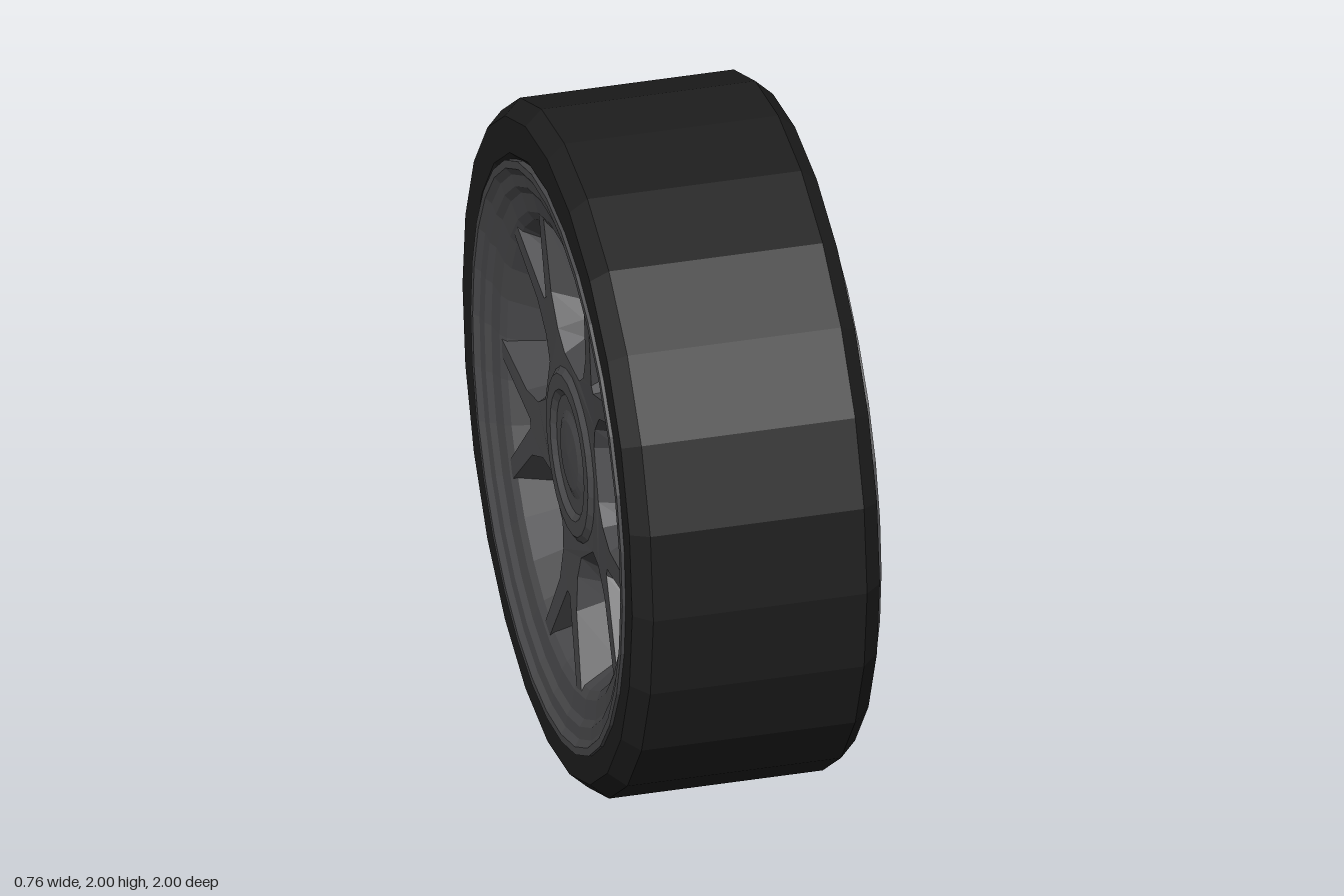
import * as THREE from 'three';

const rubber = new THREE.MeshStandardMaterial({ color: 0x1e1e1e, flatShading: true });
const metal = new THREE.MeshStandardMaterial({ color: 0x48484a, flatShading: true });

// Revolves a [radius, x] profile around the axle (x axis)
function revolve(name, profile, sides, material) {
  const points = profile.map(([r, x]) => new THREE.Vector2(r, x));
  const geometry = new THREE.LatheGeometry(points, sides).rotateZ(-Math.PI / 2);
  const mesh = new THREE.Mesh(geometry, material);
  mesh.name = name;
  return mesh;
}

// Half of one forked spoke: small gap in the spoke's frame, large window in its own frame
// each entry is [along, across]
const waist = {
  gap: [[0.52, 0.03], [0.635, 0.105]],
  window: [[0.62, 0.165], [0.41, 0.155], [0.36, 0.13], [0.33, 0.08]],
};
const edge = {
  gap: [[0.44, 0.01], [0.61, 0.145]],
  window: [[0.61, 0.215], [0.43, 0.2], [0.33, 0.145], [0.28, 0.08]],
};

// Full five-spoke outline, blended from waist (t = 0) to edge (t = 1), tips ending at reach
function spokeOutline(t, reach) {
  const blend = (key) => waist[key].map((p, i) => p.map((v, k) => v + (edge[key][i][k] - v) * t));
  const half = [
    ...blend('gap').map(([u, w]) => [Math.hypot(u, w), Math.atan2(w, u)]),
    ...blend('window').map(([u, w]) => [Math.hypot(u, w), Math.PI / 5 - Math.atan2(w, u)]),
  ].map(([r, a]) => [r > 0.55 ? reach : r, a]);
  const sector = [...half.map(([r, a]) => [r, -a]).reverse(), ...half];
  const outline = [];
  for (let i = 0; i < 5; i++) {
    const turn = Math.PI + (i * Math.PI * 2) / 5;
    for (const [r, a] of sector) {
      outline.push(new THREE.Vector2(r * Math.cos(turn + a), r * Math.sin(turn + a)));
    }
  }
  return outline;
}

// Spoke star lofted through sections { hubX, tipX, blend, reach }, with capped ends
function spokeStar(sections) {
  const loops = sections.map(({ blend, reach }) => spokeOutline(blend, reach));
  const n = loops[0].length;
  const positions = [];
  const index = [];
  loops.forEach((loop, s) => loop.forEach((p) => {
    const { hubX, tipX } = sections[s];
    const x = THREE.MathUtils.mapLinear(p.length(), 0.29, 0.65, hubX, tipX);
    positions.push(x, p.x, p.y);
  }));
  for (let s = 0; s < loops.length - 1; s++) {
    for (let i = 0; i < n; i++) {
      const j = (i + 1) % n;
      const a = s * n + i, b = s * n + j;
      index.push(a, b, b + n, a, b + n, a + n);
    }
  }
  const last = (loops.length - 1) * n;
  for (const [a, b, c] of THREE.ShapeUtils.triangulateShape(loops[0], [])) index.push(a, c, b);
  for (const [a, b, c] of THREE.ShapeUtils.triangulateShape(loops[loops.length - 1], [])) {
    index.push(last + a, last + b, last + c);
  }
  const geometry = new THREE.BufferGeometry();
  geometry.setAttribute('position', new THREE.Float32BufferAttribute(positions, 3));
  geometry.setIndex(index);
  geometry.computeVertexNormals();
  const mesh = new THREE.Mesh(geometry, metal);
  mesh.name = 'spokes';
  return mesh;
}

export function createModel() {
  const model = new THREE.Group();
  model.name = 'wheel';

  // Tire with chamfered shoulders
  const tire = revolve('tire', [
    [0.8, -0.33], [0.85, -0.37], [0.955, -0.37], [1, -0.32],
    [1, 0.305], [0.955, 0.354], [0.85, 0.354], [0.8, 0.31], [0.8, -0.33],
  ], 24, rubber);
  tire.position.y = 1;
  model.add(tire);

  // The wheel sits very slightly off the tire's centre
  const wheel = new THREE.Group();
  wheel.name = 'rimAssembly';
  wheel.position.set(0, 0.992, 0.028);
  model.add(wheel);

  // Rim: outside of the drop well, then the stepped lips and barrel inside
  wheel.add(revolve('rim', [
    [0.83, -0.38], [0.853, -0.38], [0.853, -0.33], [0.8, -0.3], [0.74, -0.2],
    [0.72, 0.2], [0.8, 0.3], [0.853, 0.33], [0.853, 0.378], [0.83, 0.378],
    [0.815, 0.355], [0.77, 0.35], [0.755, 0.325], [0.7, 0.31], [0.645, 0.28],
    [0.645, 0.04], [0.632, 0.03], [0.632, -0.15], [0.585, -0.19], [0.675, -0.32],
    [0.7, -0.335], [0.755, -0.345], [0.775, -0.36], [0.81, -0.365], [0.83, -0.38],
  ], 32, metal));

  // Five forked spokes, dished towards the hub and widest near the inner side
  wheel.add(spokeStar([
    { hubX: -0.305, tipX: -0.328, blend: 0.85, reach: 0.7 },
    { hubX: -0.25, tipX: -0.2, blend: 0, reach: 0.64 },
    { hubX: -0.21, tipX: -0.15, blend: 1, reach: 0.645 },
  ]));

  // Hub: raised ring around a low domed cap, shallow boss on the inner side
  wheel.add(revolve('hub', [
    [0, -0.318], [0.1, -0.314], [0.14, -0.302], [0.146, -0.285], [0.165, -0.3],
    [0.19, -0.32], [0.235, -0.32], [0.255, -0.305], [0.25, -0.28], [0.2, -0.22],
    [0.18, -0.206], [0.148, -0.2], [0.14, -0.205], [0, -0.205],
  ], 24, metal));

  return model;
}
